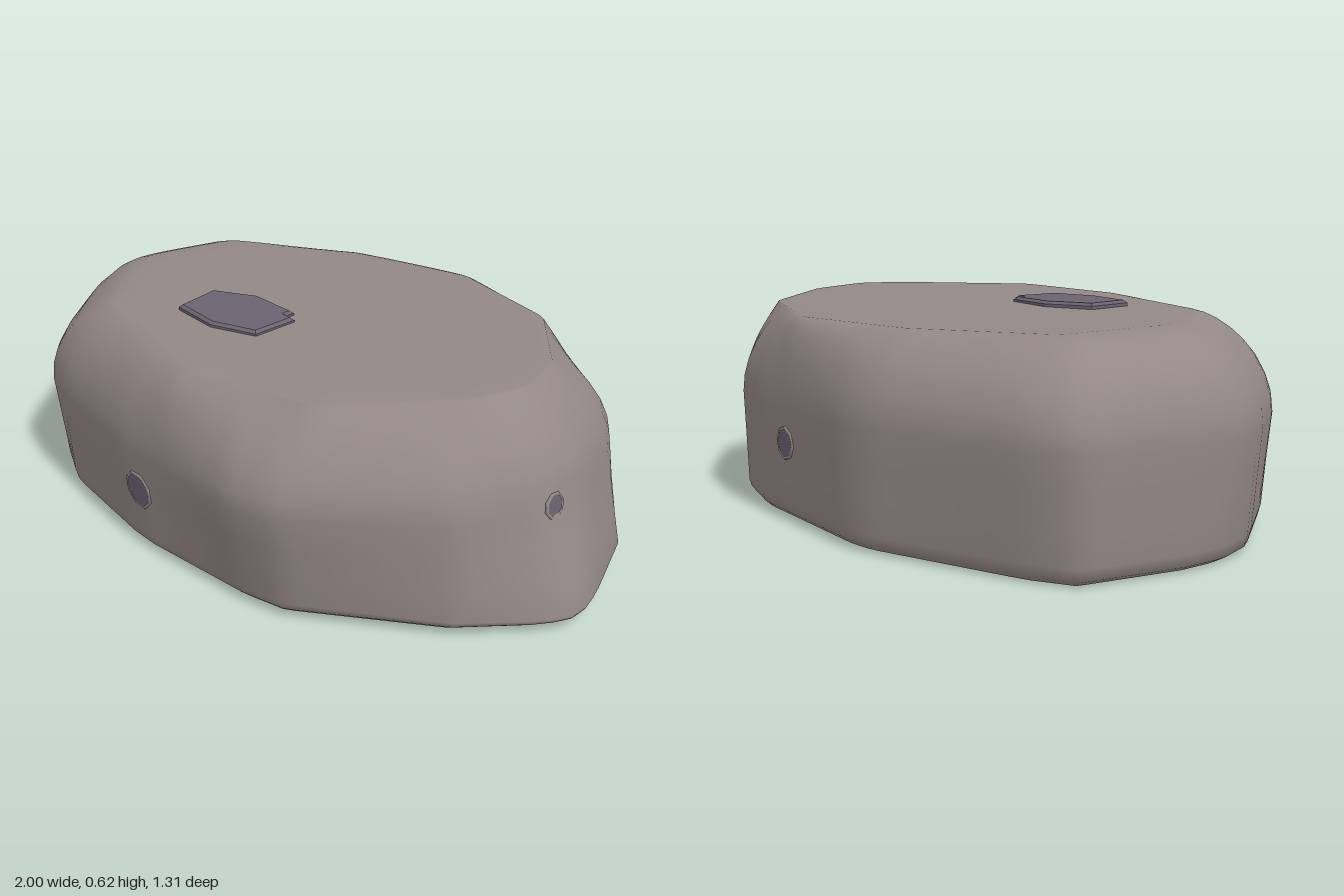
import * as THREE from 'three';

const SEGMENTS = 120;

// Plan outlines as [x, z] corners, all running the same way round
const BASE = [[-0.98, 0.08], [-0.985, -0.05], [-0.94, -0.36], [-0.83, -0.435], [-0.38, -0.63], [-0.3, -0.645], [0.2, -0.65],
  [0.4, -0.605], [0.79, -0.41], [0.87, -0.34], [0.965, -0.11], [1, -0.01], [1, 0.06], [0.96, 0.13], [0.8, 0.31],
  [0.42, 0.568], [0.28, 0.595], [-0.1, 0.612], [-0.2, 0.605], [-0.58, 0.54], [-0.72, 0.47], [-0.93, 0.21]];
const WAIST = [[-1, 0.1], [-1, -0.05], [-0.95, -0.38], [-0.85, -0.455], [-0.4, -0.635], [-0.3, -0.655], [0.2, -0.655],
  [0.4, -0.615], [0.74, -0.43], [0.81, -0.34], [0.895, -0.1], [0.9, 0.08], [0.78, 0.31], [0.43, 0.62], [0.3, 0.655],
  [-0.2, 0.63], [-0.57, 0.56], [-0.71, 0.51], [-0.79, 0.43], [-0.95, 0.22]];
const TOP = [[-0.76, 0.06], [-0.72, -0.26], [-0.35, -0.49], [0.05, -0.585], [0.45, -0.47], [0.68, -0.21],
  [0.73, -0.02], [0.68, 0.13], [0.4, 0.46], [0, 0.5], [-0.52, 0.39]];

// Distance from the centre to an outline, sampled round the circle
function radii(outline) {
  const out = [];
  for (let i = 0; i < SEGMENTS; i++) {
    const a = (i / SEGMENTS) * Math.PI * 2, dx = Math.cos(a), dz = Math.sin(a);
    let r = 0;
    outline.forEach(([px, pz], k) => {
      const [qx, qz] = outline[(k + 1) % outline.length];
      const ex = qx - px, ez = qz - pz, det = dx * ez - dz * ex;
      if (Math.abs(det) < 1e-9) return;
      const t = (px * ez - pz * ex) / det, s = (px * dz - pz * dx) / det;
      if (t > 0 && s >= -1e-6 && s <= 1 + 1e-6) r = Math.max(r, t);
    });
    out.push(r);
  }
  return out;
}

const topY = (x, z) => 0.602 + 0.01 * x + 0.03 * Math.min(0, z);
const bottomY = (x) => 0.01 + 0.01 * x;

// Skin a stack of rings; each ring is a function of the segment index giving [x, y, z]
function skin(rings) {
  const pos = [], index = [];
  for (const ring of rings) for (let i = 0; i < SEGMENTS; i++) pos.push(...ring(i));
  for (let k = 0; k < rings.length - 1; k++) {
    for (let i = 0; i < SEGMENTS; i++) {
      const j = (i + 1) % SEGMENTS;
      const a = k * SEGMENTS + i, b = k * SEGMENTS + j, c = a + SEGMENTS, d = b + SEGMENTS;
      index.push(a, c, b, b, c, d);
    }
  }
  const geo = new THREE.BufferGeometry();
  geo.setAttribute('position', new THREE.Float32BufferAttribute(pos, 3));
  geo.setIndex(index);
  geo.computeVertexNormals();
  return geo;
}

export function createModel() {
  const group = new THREE.Group();
  const stone = new THREE.MeshStandardMaterial({ color: 0x938886 });
  const dark = new THREE.MeshStandardMaterial({ color: 0x6a6370 });
  const add = (name, geo, mat) => {
    const mesh = new THREE.Mesh(geo, mat);
    mesh.name = name;
    group.add(mesh);
    return mesh;
  };

  const base = radii(BASE), waist = radii(WAIST), top = radii(TOP);
  const ring = (radius, height) => (i) => {
    const a = (i / SEGMENTS) * Math.PI * 2, r = radius(i);
    const x = r * Math.cos(a), z = r * Math.sin(a);
    return [x, height(x, z), z];
  };
  const foot = ring((i) => base[i] * 0.965, bottomY);

  // Sides: chamfered foot, slanted wall, rounded shoulder, nearly flat top
  const rings = [foot, ring((i) => base[i] * 0.99, (x) => bottomY(x) + 0.015), ring((i) => base[i], () => 0.05)];
  for (const t of [0.33, 0.67, 1]) {
    rings.push(ring((i) => THREE.MathUtils.lerp(base[i], waist[i], t), () => 0.05 + 0.28 * t));
  }
  // The shoulder leans straighter toward the pointed right end and at the four corners
  const lean = (i) => {
    const a = (i / SEGMENTS) * Math.PI * 2;
    return 1 + 1.1 * Math.max(0, Math.cos(a)) + 0.4 * Math.sin(2 * a) ** 2;
  };
  for (let k = 1; k <= 8; k++) {
    const a = (k / 8) * Math.PI / 2, c = Math.max(0, Math.cos(a));
    rings.push(ring((i) => THREE.MathUtils.lerp(top[i], waist[i], c ** lean(i)),
      (x, z) => THREE.MathUtils.lerp(0.33, topY(x, z), Math.sin(a))));
  }
  for (const s of [0.9, 0.5, 0]) rings.push(ring((i) => top[i] * s, topY));
  const body = add('stoneBody', skin(rings), stone);

  // Flat underside with a sharp edge
  add('underside', skin([ring(() => 0, bottomY), foot]), stone);

  // Thin raised chip with a notched corner
  const chip = [[-0.36, 0.13], [-0.23, 0.065], [-0.07, 0.075], [-0.07, 0.105], [-0.03, 0.11],
    [-0.03, 0.25], [-0.17, 0.295], [-0.335, 0.275]];
  const shape = new THREE.Shape(chip.map(([x, z]) => new THREE.Vector2(x, -z)));
  const chipGeo = new THREE.ExtrudeGeometry(shape, {
    depth: 0.016, bevelEnabled: true, bevelThickness: 0.008, bevelSize: 0.01, bevelOffset: -0.003, bevelSegments: 1,
  });
  chipGeo.rotateX(-Math.PI / 2);
  add('topChip', chipGeo, dark).position.y = 0.592;

  // Small round pits set on the wall, found by casting a ray inward: name, start, direction, radius
  const pits = [
    ['frontPit', [-0.13, 0.2, 2], [0, 0, -1], 0.056],
    ['rightPit', [2, 0.34, 0.04], [-1, 0, 0], 0.034],
    ['backPit', [0.04, 0.23, -2], [0, 0, 1], 0.045],
  ];
  for (const [name, start, dir, r] of pits) {
    const hit = new THREE.Raycaster(new THREE.Vector3(...start), new THREE.Vector3(...dir)).intersectObject(body)[0];
    const pit = new THREE.Group();
    pit.name = name;
    const floor = new THREE.Mesh(new THREE.CylinderGeometry(r, r, 0.02, 8).rotateX(Math.PI / 2), dark);
    floor.name = name + 'Floor';
    floor.position.z = -0.007;
    const rim = new THREE.Mesh(new THREE.TorusGeometry(r, 0.005, 6, 8), stone);
    rim.name = name + 'Rim';
    rim.rotation.z = Math.PI / 8;
    floor.rotation.z = Math.PI / 8;
    pit.add(floor, rim);
    pit.position.copy(hit.point);
    pit.quaternion.setFromUnitVectors(new THREE.Vector3(0, 0, 1), hit.face.normal);
    group.add(pit);
  }
  return group;
}
